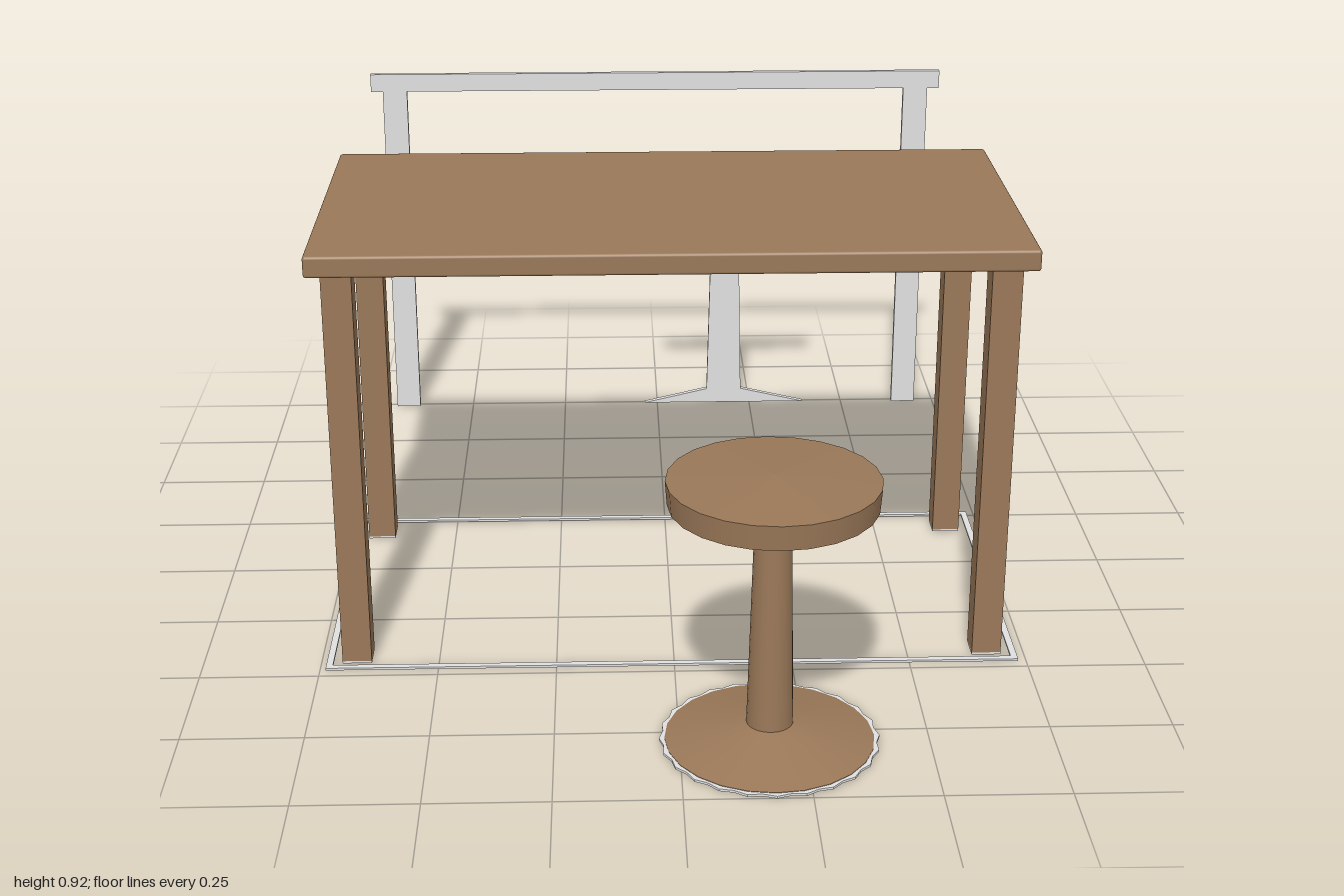
import * as THREE from 'three';
import { RoundedBoxGeometry } from 'three/addons/geometries/RoundedBoxGeometry.js';
import { mergeGeometries } from 'three/addons/utils/BufferGeometryUtils.js';

const X0 = -0.735, X1 = 0.73, Z0 = -0.26, Z1 = 0.473; // tabletop extent
const TOP = 0.92, UNDER = 0.875, FLOOR = 0.005;
const LEG = 0.062, LEGS_X = [-0.674, 0.669], LEGS_Z = [-0.195, 0.415];
const STOOL_X = 0.18, STOOL_Z = 0.78;
const SIDES = 24;

export function createModel() {
  const wood = new THREE.MeshStandardMaterial({ color: 0x9a7858 });
  wood.name = 'brown wood';
  const grey = new THREE.MeshStandardMaterial({ color: 0xe0e0e0 });
  grey.name = 'pale grey outline';

  const model = new THREE.Group();
  const add = (parent, name, geometry, material, x = 0, y = 0, z = 0) => {
    const mesh = new THREE.Mesh(geometry, material);
    mesh.name = name;
    mesh.position.set(x, y, z);
    parent.add(mesh);
    return mesh;
  };
  const group = (name) => {
    const g = new THREE.Group();
    g.name = name;
    model.add(g);
    return g;
  };
  const box = (w, h, d) => new THREE.BoxGeometry(w, h, d);
  const midX = (X0 + X1) / 2, midZ = (Z0 + Z1) / 2;

  // Table: softly rounded top on four square legs, with footprint plates
  const table = group('table');
  const floorPlan = group('floorPlan');
  add(table, 'tableTop', new RoundedBoxGeometry(X1 - X0, TOP - UNDER, Z1 - Z0, 2, 0.006),
    wood, midX, (TOP + UNDER) / 2, midZ);
  for (const x of LEGS_X) for (const z of LEGS_Z) {
    add(table, 'tableLeg', box(LEG, UNDER - FLOOR, LEG), wood, x, (UNDER + FLOOR) / 2, z);
    add(floorPlan, 'legFootprint', box(LEG, FLOOR, LEG), grey, x, FLOOR / 2, z);
  }

  // Thin rectangle on the floor below the tabletop edge
  const line = 0.014, inset = 0.004;
  for (const z of [Z0 + inset, Z1 - inset])
    add(floorPlan, 'tableOutlineLong', box(X1 - X0 - 2 * inset + line, FLOOR, line), grey,
      midX, FLOOR / 2, z);
  for (const x of [X0 + inset, X1 - inset])
    add(floorPlan, 'tableOutlineShort', box(line, FLOOR, Z1 - Z0 - 2 * inset - line), grey,
      x, FLOOR / 2, midZ);

  // Stool: conical foot, tapered column and shallow domed seat.
  // Each band is turned separately so it is smooth around with sharp rims.
  const stool = group('stool');
  stool.position.set(STOOL_X, 0, STOOL_Z);
  const turned = (points) => mergeGeometries(points.slice(1).map((p, i) =>
    new THREE.LatheGeometry([new THREE.Vector2(...points[i]), new THREE.Vector2(...p)], SIDES)));
  add(stool, 'stoolFoot', turned([[0, 0.004], [0.21, 0.004], [0.21, 0.006], [0.046, 0.042]]), wood);
  add(stool, 'stoolColumn', turned([[0.047, 0.038], [0.036, 0.498]]), wood);
  add(stool, 'stoolSeat',
    turned([[0, 0.493], [0.036, 0.494], [0.205, 0.517], [0.209, 0.568], [0, 0.579]]), wood);

  // Toothed ring and small disc on the floor under the stool
  const ring = new THREE.Shape();
  for (let i = 0; i < SIDES * 2; i++) {
    const a = (i / (SIDES * 2)) * Math.PI * 2, r = i % 2 ? 0.214 : 0.221;
    ring[i ? 'lineTo' : 'moveTo'](r * Math.cos(a), r * Math.sin(a));
  }
  ring.closePath();
  const hole = new THREE.Path();
  hole.absarc(0, 0, 0.206, 0, Math.PI * 2, true);
  ring.holes.push(hole);
  const ringMesh = add(floorPlan, 'stoolOutline',
    new THREE.ExtrudeGeometry(ring, { depth: FLOOR, bevelEnabled: false, curveSegments: SIDES }),
    grey, STOOL_X, 0, STOOL_Z);
  ringMesh.rotation.x = -Math.PI / 2;
  add(floorPlan, 'columnFootprint', new THREE.CylinderGeometry(0.038, 0.038, FLOOR, SIDES),
    grey, STOOL_X, FLOOR / 2, STOOL_Z);

  // Flat elevation panels standing behind the furniture
  const elevation = group('elevation');
  const thick = 0.014, panelZ = -1 + thick / 2;
  add(elevation, 'topSilhouette', box(X1 - X0, TOP - UNDER, thick), grey,
    midX, (TOP + UNDER) / 2, panelZ);
  for (const x of LEGS_X)
    add(elevation, 'legSilhouette', box(LEG, UNDER, thick), grey, x, UNDER / 2, panelZ);

  // Stool profile, mirrored about its axis
  const half = [[0.214, 0.003], [0.046, 0.042], [0.036, 0.494], [0.205, 0.517], [0.21, 0.57], [0.03, 0.58]];
  const outline = [...half, ...half.map(([x, y]) => [-x, y]).reverse()];
  const profile = new THREE.Shape(outline.map(([x, y]) => new THREE.Vector2(x, y)));
  add(elevation, 'stoolSilhouette',
    new THREE.ExtrudeGeometry(profile, { depth: thick, bevelEnabled: false }), grey, STOOL_X, 0, -1);

  return model;
}
